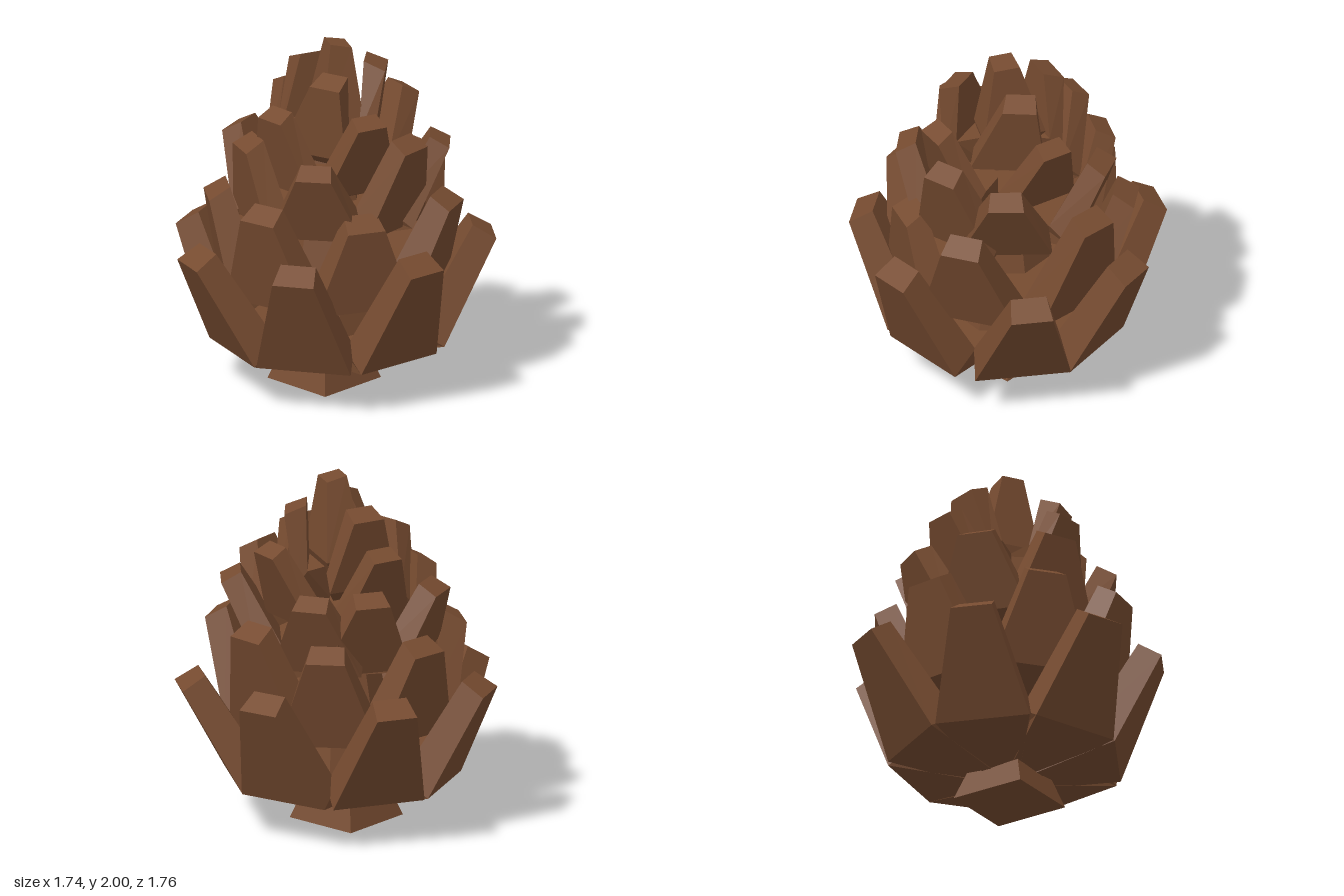
import * as THREE from 'three';

const material = new THREE.MeshStandardMaterial({ color: 0x764b30, flatShading: true, roughness: 0.9 });

// Lofts four-sided sections; each is { outer: [halfWidth, y, r], inner: [halfWidth, y, r], shift } with a sideways shift
function loft(sections) {
  const rings = sections.map(({ outer: [ow, oy, or], inner: [iw, iy, ir], shift }) => [
    [shift - ow, oy, or], [shift + ow, oy, or], [shift + iw, iy, ir], [shift - iw, iy, ir],
  ]);
  const points = [];
  const quad = (a, b, c, d) => points.push(...a, ...b, ...c, ...a, ...c, ...d);
  for (let s = 0; s < rings.length - 1; s++) {
    for (let k = 0; k < 4; k++) {
      const n = (k + 1) % 4;
      quad(rings[s][k], rings[s][n], rings[s + 1][n], rings[s + 1][k]);
    }
  }
  quad(...rings[0].slice().reverse());
  quad(...rings[rings.length - 1]);
  const geometry = new THREE.BufferGeometry();
  geometry.setAttribute('position', new THREE.Float32BufferAttribute(points, 3));
  geometry.computeVertexNormals();
  return geometry;
}

// A scale runs out from the core to a wide elbow, then up to a narrow blunt tip that may lean sideways
function scaleGeometry(tier, tipRadius, lift, lean) {
  const { elbowY, elbowR, elbowW, tipY, tipW, rise, depth } = tier;
  return loft([
    { outer: [0.06, elbowY - 0.14, 0.03], inner: [0.05, elbowY + 0.1, 0.0], shift: 0 },
    { outer: [elbowW, elbowY, elbowR], inner: [elbowW * 0.92, elbowY + 0.1, elbowR * 0.72], shift: lean * 0.3 },
    { outer: [tipW, tipY + lift, tipRadius], inner: [tipW * 0.85, tipY + rise + lift, tipRadius - depth], shift: lean },
  ]);
}

// Tiers from bottom to top; each scale is [angle in degrees, outer tip radius, lift, sideways lean]
const tiers = [
  { elbowY: 0.25, elbowR: 0.61, elbowW: 0.27, tipY: 0.84, tipW: 0.118, rise: 0.08, depth: 0.13,
    scales: [[27, 0.86, 0, 0], [80, 0.86, 0.01, 0], [138, 0.92, -0.02, 0], [185, 0.88, 0, 0],
      [237, 0.91, 0, 0], [287, 0.88, -0.02, 0], [338, 0.89, -0.03, 0]] },
  { elbowY: 0.59, elbowR: 0.59, elbowW: 0.285, tipY: 1.12, tipW: 0.11, rise: 0.07, depth: 0.12,
    scales: [[6, 0.71, 0, 0], [60, 0.63, -0.05, 0], [109, 0.76, 0, 0], [172, 0.76, 0.08, 0],
      [210, 0.74, 0, 0], [260, 0.72, -0.01, 0], [319, 0.69, 0, 0]] },
  { elbowY: 0.98, elbowR: 0.47, elbowW: 0.26, tipY: 1.4, tipW: 0.1, rise: 0.06, depth: 0.11,
    scales: [[32, 0.6, -0.03, 0], [92, 0.62, 0.08, 0], [129, 0.67, 0, 0], [200, 0.62, -0.02, 0],
      [234, 0.61, 0, 0], [283, 0.62, -0.01, 0], [333, 0.54, 0.03, 0]] },
  { elbowY: 1.2, elbowR: 0.35, elbowW: 0.23, tipY: 1.62, tipW: 0.09, rise: 0.05, depth: 0.1,
    scales: [[354, 0.44, 0, -0.02], [70, 0.49, 0, 0], [162, 0.53, 0, 0], [249, 0.49, 0, 0]] },
  { elbowY: 1.4, elbowR: 0.25, elbowW: 0.21, tipY: 1.82, tipW: 0.095, rise: 0.05, depth: 0.12,
    scales: [[10, 0.29, 0, 0.14], [125, 0.31, 0, 0.1], [246, 0.32, -0.01, 0]] },
];

export function createModel() {
  const model = new THREE.Group();
  model.name = 'pineCone';
  const add = (name, geometry) => {
    const mesh = new THREE.Mesh(geometry, material);
    mesh.name = name;
    model.add(mesh);
    return mesh;
  };

  // Square tapered stem, turned slightly
  const stem = add('stem', new THREE.CylinderGeometry(0.24, 0.315, 0.16, 4).rotateY(Math.PI / 4 - 0.06));
  stem.position.set(-0.02, 0.08, 0.02);

  // Hidden core that closes the gaps between the scales
  add('core', new THREE.CylinderGeometry(0.08, 0.34, 1.2, 7)).position.y = 0.9;

  // Overlapping scales
  tiers.forEach((tier, t) => {
    const group = new THREE.Group();
    group.name = `scaleTier${t + 1}`;
    for (const [angle, radius, lift, lean] of tier.scales) {
      const scale = new THREE.Mesh(scaleGeometry(tier, radius, lift, lean), material);
      scale.name = 'scale';
      scale.rotation.y = THREE.MathUtils.degToRad(angle);
      group.add(scale);
    }
    model.add(group);
  });

  // Upright scale closing the top
  const crown = add('crownScale', loft([
    { outer: [0.08, 1.35, 0.06], inner: [0.08, 1.35, -0.08], shift: 0 },
    { outer: [0.18, 1.55, 0.15], inner: [0.16, 1.55, -0.09], shift: 0.03 },
    { outer: [0.075, 1.975, 0.1], inner: [0.065, 2.0, -0.02], shift: 0 },
  ]));
  crown.rotation.y = THREE.MathUtils.degToRad(147);
  crown.position.set(0.02, 0, 0.01);
  return model;
}
